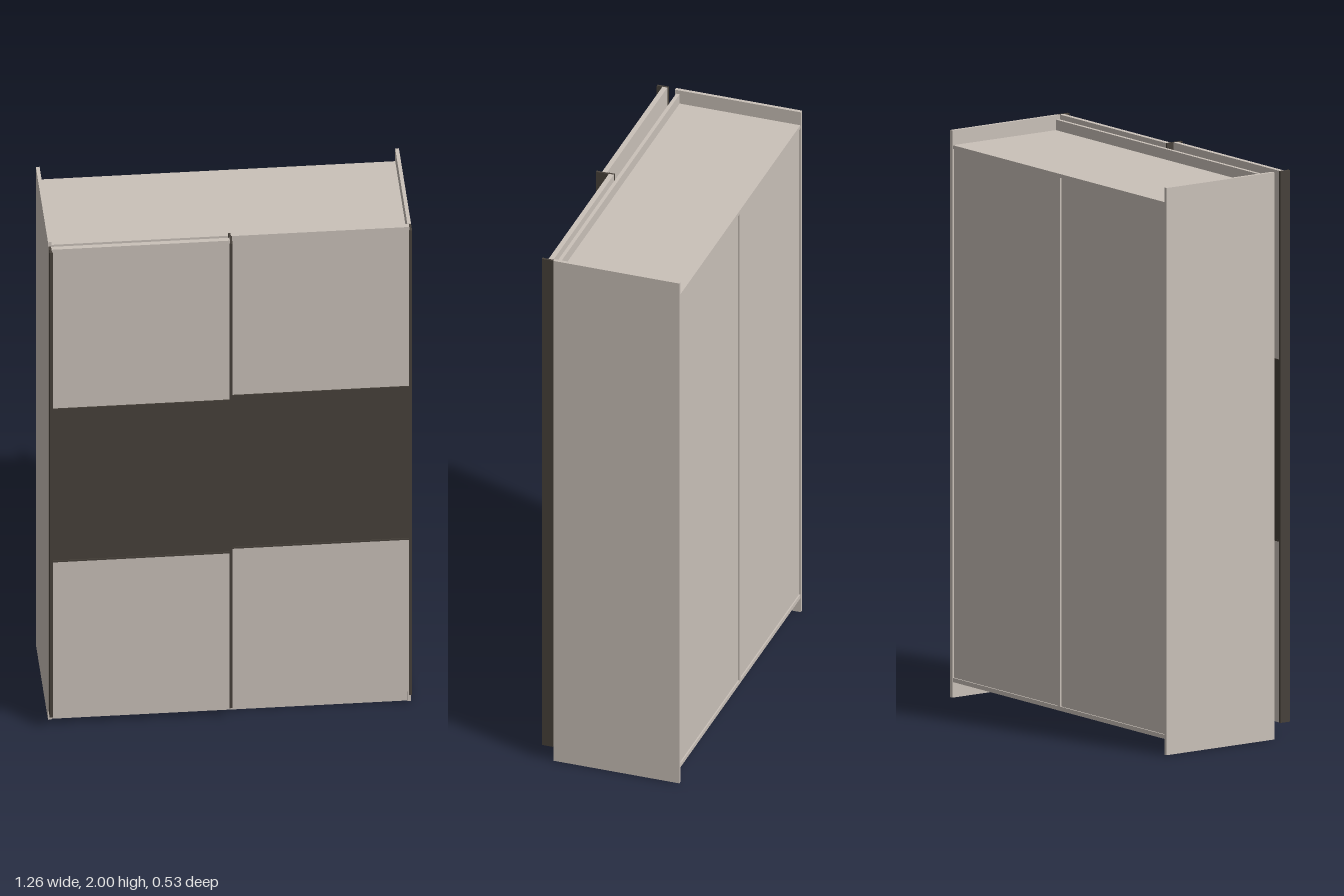
import * as THREE from 'three';

const light = new THREE.MeshStandardMaterial({ color: 0xcac1b9 });
light.name = 'beige board';
const dark = new THREE.MeshStandardMaterial({ color: 0x47413a });
dark.name = 'dark brown';

// Box given by its limits on each axis
function board(parent, name, material, [x0, x1], [y0, y1], [z0, z1]) {
  const mesh = new THREE.Mesh(new THREE.BoxGeometry(x1 - x0, y1 - y0, z1 - z0), material);
  mesh.position.set((x0 + x1) / 2, (y0 + y1) / 2, (z0 + z1) / 2);
  mesh.name = name;
  parent.add(mesh);
}

// Sliding door: three panels, thin cross trims and upright edge profiles
function slidingDoor(name, x0, x1, z) {
  const door = new THREE.Group();
  door.name = name;
  const bottom = 0.055, low = 0.695, high = 1.332, top = 2;
  const inner = [x0 + 0.008, x1 - 0.008];
  const depth = [z, z + 0.018];
  board(door, 'lowerPanel', light, inner, [bottom, low], depth);
  board(door, 'middlePanel', dark, inner, [low, high], depth);
  board(door, 'upperPanel', light, inner, [high, top], depth);
  for (const y of [low, high]) {
    board(door, 'crossTrim', dark, inner, [y - 0.003, y + 0.003], [z - 0.001, z + 0.021]);
  }
  return door;
}

// Slim upright handle with a small lip turned over the panel
function handle(door, edge, inward, z0, z1) {
  const span = (w) => (inward > 0 ? [edge, edge + w] : [edge - w, edge]);
  board(door, 'handleProfile', dark, span(0.008), [0.055, 2], [z0, z1]);
  board(door, 'handleLip', dark, span(0.011), [0.055, 2], [z1 - 0.004, z1]);
}

export function createModel() {
  const model = new THREE.Group();
  model.name = 'slidingDoorWardrobe';
  const W = 0.63, T = 0.013, back = -0.265, front = 0.198;
  const inside = [-W + T, W - T];

  // Carcass
  const carcass = new THREE.Group();
  carcass.name = 'carcass';
  model.add(carcass);
  for (const s of [-1, 1]) {
    board(carcass, 'sidePanel', light, s < 0 ? [-W, -W + T] : [W - T, W], [0, 2], [back, front]);
    board(carcass, 'backPanel', light, s < 0 ? [-W + T, -0.005] : [0.005, W - T], [0.07, 1.935], [-0.258, -0.252]);
  }
  board(carcass, 'topPanel', light, inside, [1.935, 1.948], [-0.263, 0.18]);
  board(carcass, 'bottomPanel', light, inside, [0.055, 0.07], [-0.263, 0.195]);
  board(carcass, 'divider', light, [-0.007, 0.007], [0.07, 1.935], [-0.252, 0.18]);
  board(carcass, 'backJoint', light, [-0.008, 0.008], [0.07, 1.935], [-0.263, -0.252]);
  board(carcass, 'plinth', light, inside, [0, 0.055], [0.18, 0.193]);
  board(carcass, 'topRail', light, inside, [1.92, 1.985], [0.18, 0.193]);

  // Doors on two tracks, the right-hand one of the cabinet in front
  const outer = slidingDoor('outerDoor', -W, 0.005, 0.227);
  handle(outer, -W, 1, 0.224, 0.265);
  handle(outer, 0.005, -1, 0.224, 0.265);
  const rear = slidingDoor('innerDoor', -0.005, W, 0.2);
  handle(rear, -0.005, 1, 0.199, 0.222);
  handle(rear, W, -1, 0.199, 0.24);
  model.add(outer, rear);

  return model;
}
